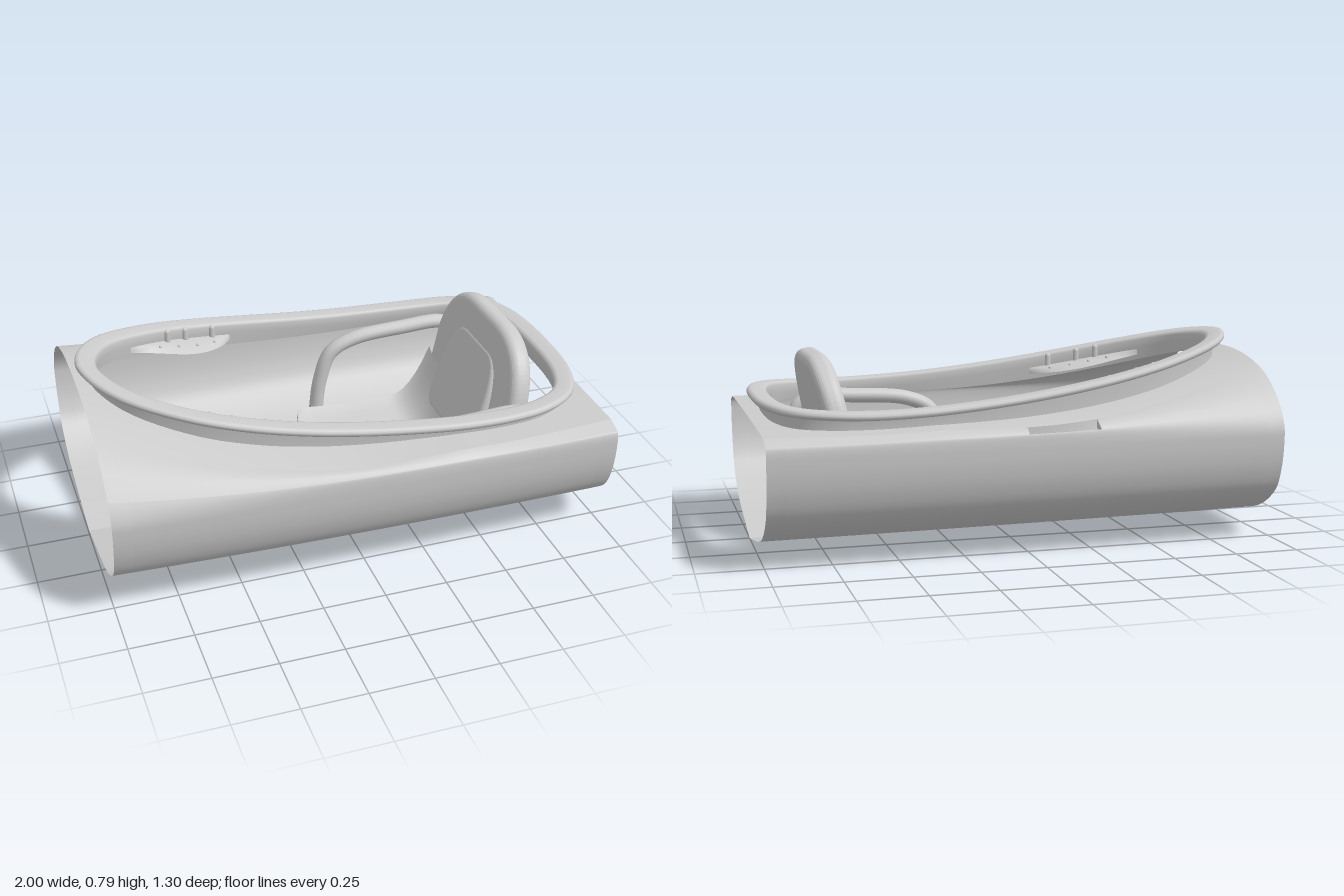
import * as THREE from 'three';

const mat = new THREE.MeshStandardMaterial({ color: 0xcccccc, side: THREE.DoubleSide });
const V2 = (a) => a.map(([x, y]) => new THREE.Vector2(x, y));

// surface through rows of [x, y, z] points
function loft(rows, skip = () => false) {
  const m = rows[0].length, idx = [];
  for (let i = 0; i < rows.length - 1; i++) {
    if (skip(i)) continue;
    for (let j = 0; j < m - 1; j++) {
      const a = i * m + j, b = a + m;
      idx.push(a, a + 1, b, b, a + 1, b + 1);
    }
  }
  const g = new THREE.BufferGeometry();
  g.setAttribute('position', new THREE.Float32BufferAttribute(rows.flat(2), 3));
  g.setIndex(idx);
  g.computeVertexNormals();
  return g;
}

// form lines along the length
const halfWidth = (x) => 0.65 + 0.009 * x - 0.019 * x * x;
const rimY = (x) => 0.567 + 0.1 * Math.abs(0.6 - x) ** 1.8;
const ridgeY = (x) => 0.5 + 0.076 * Math.max(0, 0.7 - x) ** 2;
const creaseZ = (x) => 0.61 - (x < 0.1 ? 0.27 * ((0.1 - x) / 1.1) ** 2 : 0.04 * ((x - 0.1) / 0.9) ** 2);
const creaseY = (x) => Math.min(0.47 + 0.75 * (halfWidth(x) - creaseZ(x)), ridgeY(x) - 0.005);
const deckY = (x, z) => creaseY(x) + (ridgeY(x) - creaseY(x)) * (1 - Math.min(1, Math.abs(z) / creaseZ(x)) ** 2.5);
// [height, half width] on the shoulder, t = 0 at the gunwale and 1 at the crease; rounder toward the bow
const shoulder = (x, t) => {
  const bulge = 0.03 * ((1 - x) / 2) ** 2 * 4 * t * (1 - t);
  return [0.47 + (creaseY(x) - 0.47) * t + bulge, halfWidth(x) + (creaseZ(x) - halfWidth(x)) * t + 0.75 * bulge];
};

// egg-shaped cockpit opening, sampled with its outward normals
const half = [[-0.91, 0], [-0.88, 0.11], [-0.8, 0.213], [-0.6, 0.33], [-0.4, 0.39], [-0.2, 0.423], [0, 0.442],
  [0.2, 0.455], [0.4, 0.465], [0.6, 0.46], [0.73, 0.44], [0.83, 0.385], [0.885, 0.26], [0.905, 0]];
const loop = [...half, ...half.slice(1, -1).reverse().map(([x, z]) => [x, -z])];
const eggCurve = new THREE.CatmullRomCurve3(loop.map(([x, z]) => new THREE.Vector3(x, 0, z)), true);
const N = loop.length * 5;
const egg = Array.from({ length: N + 1 }, (_, i) => {
  const p = eggCurve.getPoint((i % N) / N), t = eggCurve.getTangent((i % N) / N);
  return { x: p.x, z: p.z, nx: -t.z, nz: t.x };
});

export function createModel() {
  const model = new THREE.Group();
  const add = (name, geo, parent = model) => {
    const mesh = new THREE.Mesh(geo, mat);
    mesh.name = name;
    parent.add(mesh);
    return mesh;
  };

  // stations: [x, half width of the opening there]
  const stations = [[-1, 0], [-0.96, 0],
    ...egg.slice(0, N / 2 + 1).map((e) => [e.x + 0.02 * e.nx, Math.max(0, e.z + 0.02 * e.nz)]),
    [0.96, 0], [1, 0]];
  const section = new THREE.SplineCurve(V2([[0, 0.003], [0.15, 0.03], [0.3, 0.058], [0.42, 0.09], [0.51, 0.135],
    [0.588, 0.2], [0.625, 0.28], [0.641, 0.36], [0.645, 0.43]])).getPoints(28);
  const inSlot = (i) => stations[i][0] > -0.25 && stations[i + 1][0] < 0.05;

  for (const s of [1, -1]) {
    const side = s > 0 ? 'left' : 'right';
    // hull side, rounded over at the gunwale
    add(side + 'Hull', loft(stations.map(([x]) => {
      const w = halfWidth(x), [y1, z1] = shoulder(x, 0.2);
      const gunwale = new THREE.QuadraticBezierCurve(new THREE.Vector2(w, 0.43), new THREE.Vector2(w, 0.475),
        new THREE.Vector2(z1, y1)).getPoints(8).slice(1);
      return [...section.map((p) => [x, p.y + 0.01 * (1 - x) * (1 - p.y / 0.43), s * p.x * w / 0.645]),
        ...gunwale.map((p) => [x, p.y, s * p.x])];
    })));
    // sloping shoulder, open at the slot on one side
    add(side + 'Shoulder', loft(stations.map(([x]) => [0.2, 0.36, 0.52, 0.68, 0.84, 1].map((t) => {
      const [y, z] = shoulder(x, t);
      return [x, y, s * z];
    })), (i) => s < 0 && inSlot(i)));
    add(side + 'Deck', loft(stations.map(([x, w]) => Array.from({ length: 11 }, (_, j) => {
      const z = creaseZ(x) + (w - creaseZ(x)) * j / 10;
      return [x, deckY(x, z), s * z];
    }))));
  }

  // recessed trough under the slot
  const slot = stations.filter((_, i) => i > 0 && i < stations.length - 1 && (inSlot(i) || inSlot(i - 1)));
  const trough = slot.map(([x]) => Array.from({ length: 11 }, (_, j) => {
    const [y, z] = shoulder(x, 0.2 + 0.08 * j), b = Math.sin(Math.PI * j / 10);
    return [x, y - 0.055 * b, 0.015 * b - z];
  }));
  add('slotTrough', loft(trough));
  for (const row of [trough[0], trough[trough.length - 1]]) {
    const mid = row[0].map((v, k) => (v + row[10][k]) / 2);
    add('slotEnd', loft([row, row.map(() => mid)]));
  }

  // coaming: rolled lip on an upright wall; null drops to the deck
  const profile = [[0.012, null], [0.003, -0.045], [0, -0.014], [0.006, -0.004], [0.018, 0], [0.062, 0], [0.074, -0.004],
    [0.08, -0.013], [0.08, -0.022], [0.073, -0.03], [0.04, -0.032], [0.034, -0.038], [0.032, null]];
  add('coaming', loft(egg.map((e) => profile.map(([o, h]) => {
    const x = e.x + o * e.nx, z = e.z + o * e.nz;
    return [x, h === null ? deckY(x, z) - 0.008 : rimY(x) + h, z];
  }))));

  // thigh braces with rivets, and ribs on the coaming
  const front = egg.slice(0, N / 2).filter((e) => e.x > -0.74 && e.x < -0.25);
  const [x0, x1] = [front[0].x, front[front.length - 1].x];
  for (const s of [1, -1]) {
    const braceAt = (e, v) => {
      const t = (e.x - x0) / (x1 - x0);
      const reach = 0.1 * Math.max(0, Math.sin(Math.PI * t ** 1.4)) ** 0.8;
      return [e.x, rimY(e.x) - 0.055 - 0.025 * v * v, s * (e.z + 0.006 - reach * v)];
    };
    add('thighBrace', loft(front.map((e) => [0, 0.25, 0.5, 0.75, 1].map((v) => braceAt(e, v)))));
    for (const i of [3, 5, 7, 9]) {
      add('rivet', new THREE.SphereGeometry(0.007, 8, 6)).position.set(...braceAt(front[i], 0.55));
    }
    for (const x of [-0.58, -0.47, -0.36]) {
      const e = front.reduce((a, b) => (Math.abs(b.x - x) < Math.abs(a.x - x) ? b : a));
      add('coamingRib', new THREE.CapsuleGeometry(0.013, 0.05, 4, 10))
        .position.set(e.x, rimY(e.x) - 0.04, s * (e.z + 0.002));
    }
  }

  // seat pan: dished, rounded front corners, swept up into the backrest
  const seat = new THREE.Group();
  seat.name = 'seat';
  model.add(seat);
  const panY = (x, u) => 0.13 + 0.3 * Math.max(0, 0.25 - x) ** 2 + 0.22 * (Math.max(0, x - 0.44) / 0.18) ** 2
    + 0.05 * u ** 6 + 0.015 * Math.cos(u * 7) * (1 - u * u);
  const panRows = Array.from({ length: 33 }, (_, i) => {
    const x = -0.05 + 0.67 * (i / 32) ** 1.5;
    const c = Math.max(0, 1 - (x + 0.05) / 0.12);
    const hw = 0.3 + 0.085 * Math.sqrt(1 - c * c);
    const row = Array.from({ length: 33 }, (_, j) => {
      const u = j / 16 - 1;
      return [x + 0.03 * u * u * c, panY(x, u), u * hw];
    });
    const under = row.map(([a, b, z]) => [a, b - 0.04 * Math.min(1, 0.2 + i / 4), z * 0.985]).reverse();
    return [...row, ...under, row[0]];
  });
  add('seatPan', loft(panRows), seat);
  const pad = add('seatPad', new THREE.CylinderGeometry(0.15, 0.152, 0.012, 48), seat);
  pad.scale.z = 1.53;
  pad.position.set(0.3, 0.146, 0);

  // leaning backrest with a wedge-shaped lumbar pad
  const back = new THREE.Group();
  back.name = 'backrest';
  back.position.set(0.583, 0.1, 0);
  back.rotation.z = -0.2;
  seat.add(back);
  const slab = (name, shape, depth, bevel, x, tilt) => {
    const g = new THREE.ExtrudeGeometry(shape, { depth, bevelEnabled: true, bevelSize: bevel, bevelThickness: bevel,
      bevelSegments: 6, curveSegments: 20 });
    add(name, g.rotateY(Math.PI / 2).rotateZ(tilt), back).position.x = x;
  };
  const outline = new THREE.Shape();
  outline.moveTo(-0.32, 0.035);
  outline.lineTo(0.32, 0.035);
  outline.quadraticCurveTo(0.353, 0.035, 0.353, 0.07);
  outline.lineTo(0.348, 0.42);
  outline.bezierCurveTo(0.325, 0.55, 0.25, 0.625, 0.1, 0.625);
  outline.lineTo(-0.1, 0.625);
  outline.bezierCurveTo(-0.25, 0.625, -0.325, 0.55, -0.348, 0.42);
  outline.lineTo(-0.353, 0.07);
  outline.quadraticCurveTo(-0.353, 0.035, -0.32, 0.035);
  slab('backrestShell', outline, 0.02, 0.035, 0.02, 0);
  const lumbar = new THREE.Shape();
  lumbar.moveTo(-0.17, 0.14);
  lumbar.lineTo(0.17, 0.14);
  lumbar.quadraticCurveTo(0.21, 0.15, 0.21, 0.24);
  lumbar.bezierCurveTo(0.21, 0.45, 0.17, 0.51, 0.1, 0.51);
  lumbar.lineTo(-0.1, 0.51);
  lumbar.bezierCurveTo(-0.17, 0.51, -0.21, 0.45, -0.21, 0.24);
  lumbar.quadraticCurveTo(-0.21, 0.15, -0.17, 0.14);
  slab('lumbarPad', lumbar, 0.05, 0.02, -0.066, -0.13);

  // hip supports: bent frames from the backrest down to the floor
  const frame = [[0.75, 0.4], [0.745, 0.46], [0.68, 0.5], [0.5, 0.5], [0.27, 0.48], [0.17, 0.43], [0.12, 0.3], [0.1, 0.15]];
  for (const s of [1, -1]) {
    const path = new THREE.CatmullRomCurve3(frame.map(([x, y]) => new THREE.Vector3(x, y, s * 0.417)));
    add('hipFrame', new THREE.TubeGeometry(path, 64, 0.031, 12), seat);
    for (const i of [0, frame.length - 1]) {
      add('hipFrameEnd', new THREE.SphereGeometry(0.031, 12, 8), seat).position.set(...frame[i], s * 0.417);
    }
  }
  return model;
}
